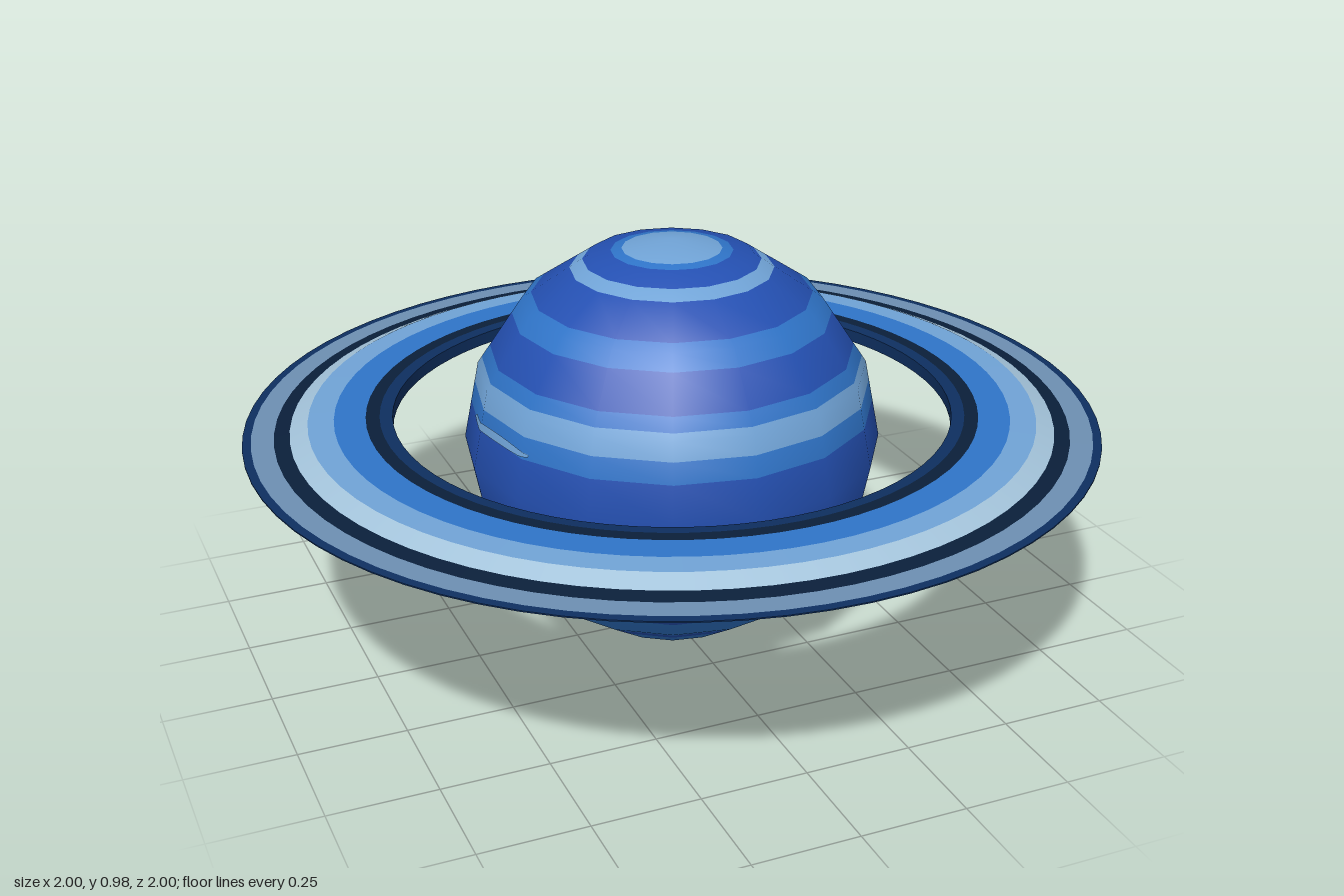
import * as THREE from 'three';

const paint = (name, color) => {
  const m = new THREE.MeshStandardMaterial({ color });
  m.name = name;
  return m;
};

const R = 0.492, CY = 0.497, SIDES = 16, STEP = Math.PI * 2 / SIDES;

// corners of the low-poly globe outline, bottom to top
const corners = Array.from({ length: SIDES / 2 + 1 }, (_, k) =>
  new THREE.Vector2(R * Math.sin(k * STEP), CY - R * Math.cos(k * STEP)));

// radius of the faceted outline at a height
function radiusAt(y) {
  for (let k = 0; k < corners.length - 1; k++) {
    const a = corners[k], b = corners[k + 1];
    if (y <= b.y) return Math.max(0, a.x + (b.x - a.x) * (y - a.y) / (b.y - a.y));
  }
  return 0;
}

// slice of the outline between two heights, keeping the corners inside it
function slice(y0, y1) {
  const inner = corners.filter(p => p.y > y0 + 1e-4 && p.y < y1 - 1e-4);
  return [new THREE.Vector2(radiusAt(y0), y0), ...inner, new THREE.Vector2(radiusAt(y1), y1)];
}

// smooth normals pointing away from the globe's centre
function roundNormals(geo) {
  const p = geo.attributes.position, n = geo.attributes.normal, v = new THREE.Vector3();
  for (let i = 0; i < p.count; i++) {
    v.fromBufferAttribute(p, i).setY(p.getY(i) - CY).normalize();
    n.setXYZ(i, v.x, v.y, v.z);
  }
  return geo;
}

// thin painted streak hugging the facets; angles in degrees from +z towards +x
function streakGeometry(y0, y1, from, to) {
  const rad = Math.PI / 180;
  const geo = new THREE.LatheGeometry(slice(y0, y1), 16, from * rad, (to - from) * rad);
  const p = geo.attributes.position;
  const mid = (from + to) / 2 * rad, half = (to - from) / 2 * rad;
  for (let i = 0; i < p.count; i++) {
    const x = p.getX(i), z = p.getZ(i);
    let phi = Math.atan2(x, z);
    if (phi < 0) phi += Math.PI * 2;
    const local = (phi % STEP) - STEP / 2;
    const s = Math.cos(STEP / 2) / Math.cos(local) + 0.004 / Math.hypot(x, z);
    // taper to both ends
    const yc = (y0 + y1) / 2, t = (phi - mid) / half;
    const y = yc + (p.getY(i) - yc) * Math.sqrt(Math.max(0.05, 1 - t * t));
    p.setXYZ(i, x * s, y, z * s);
  }
  return roundNormals(geo);
}

export function createModel() {
  const royal = paint('royalBlue', 0x2450b2);
  const medium = paint('mediumBlue', 0x2f74c8);
  const light = paint('lightBlue', 0x70a3d6);
  const pale = paint('paleBlue', 0xa3c3da);
  const slate = paint('slateBlue', 0x6d8fb2);
  const navy = paint('navy', 0x0e2f60);
  const ink = paint('ink', 0x0a1f3a);

  const model = new THREE.Group();
  const add = (parent, name, geo, mat) => {
    const m = new THREE.Mesh(geo, mat);
    m.name = name;
    parent.add(m);
  };

  // striped globe: top height and colour of each band, from the bottom up
  const globe = new THREE.Group();
  globe.name = 'globe';
  const bands = [
    [0.035, slate], [0.10, medium], [0.14, royal], [0.192, medium], [0.59, royal],
    [0.64, medium], [0.70, light], [0.73, medium], [0.81, royal], [0.86, medium],
    [0.92, royal], [0.94, light], [0.961, royal], [0.966, medium], [CY + R, light],
  ];
  let low = CY - R;
  bands.forEach(([high, mat], i) => {
    add(globe, 'globeBand' + (i + 1), roundNormals(new THREE.LatheGeometry(slice(low, high), SIDES)), mat);
    low = high;
  });

  // small cloud streaks
  [
    [0.592, 0.615, 82, 115, light], [0.592, 0.612, 262, 295, light],
    [0.277, 0.285, 110, 158, medium], [0.05, 0.07, 155, 190, light],
    [0.375, 0.395, 77, 81, ink], [0.925, 0.945, 150, 168, medium],
  ].forEach(([y0, y1, a, b, mat], i) =>
    add(globe, 'cloudStreak' + (i + 1), streakGeometry(y0, y1, a, b), mat));
  model.add(globe);

  // ring system: flat raised inner part sloping down to a thin rim
  const rings = new THREE.Group();
  rings.name = 'rings';
  const BOTTOM = 0.553, SEG = 72;
  const ringBands = [
    // inner radius, outer radius, top height at each, colour
    [0.655, 0.685, 0.583, 0.585, navy], [0.685, 0.717, 0.585, 0.585, ink],
    [0.717, 0.79, 0.585, 0.585, medium], [0.79, 0.85, 0.585, 0.583, light],
    [0.85, 0.892, 0.583, 0.564, pale], [0.892, 0.928, 0.564, 0.558, ink],
    [0.928, 0.98, 0.558, 0.557, slate], [0.98, 1.0, 0.557, 0.556, navy],
  ];
  const strip = (r0, y0, r1, y1) =>
    new THREE.LatheGeometry([new THREE.Vector2(r0, y0), new THREE.Vector2(r1, y1)], SEG);
  ringBands.forEach(([r0, r1, y0, y1, mat], i) => {
    add(rings, 'ringTop' + (i + 1), strip(r1, y1, r0, y0), mat);
    add(rings, 'ringUnderside' + (i + 1), strip(r0, BOTTOM, r1, BOTTOM), mat);
  });
  add(rings, 'ringOuterEdge', strip(1, BOTTOM, 1, 0.556), navy);
  add(rings, 'ringInnerEdge', strip(0.655, 0.583, 0.655, BOTTOM), navy);
  model.add(rings);

  return model;
}
